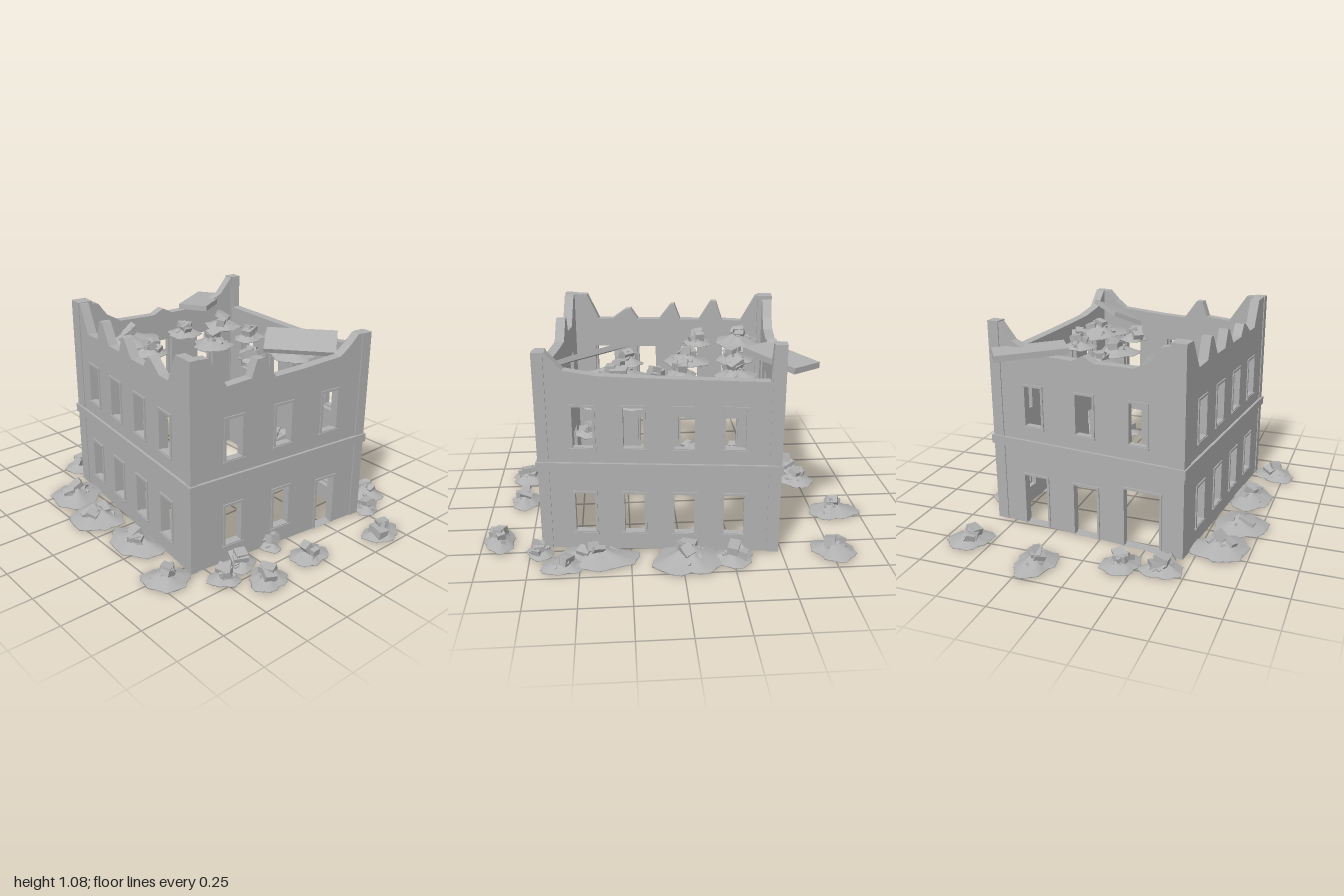
import * as THREE from 'three';

const W = 1.17, D = 1.05, T = 0.05, BASE = 0.02;
const stone = new THREE.MeshStandardMaterial({ color: 0xb0b0b0 });
stone.name = 'grey stone';

let seed = 7;
const rand = (a = 0, b = 1) => {
  seed = (seed * 16807) % 2147483647;
  return a + (b - a) * (seed / 2147483647);
};

function add(parent, name, geometry, x = 0, y = 0, z = 0) {
  const mesh = new THREE.Mesh(geometry, stone);
  mesh.name = name;
  mesh.position.set(x, y, z);
  parent.add(mesh);
  return mesh;
}

const rectPoints = (x0, y0, x1, y1) =>
  [[x0, y0], [x1, y0], [x1, y1], [x0, y1]].map(p => new THREE.Vector2(...p));

const extrude = (shape, depth) =>
  new THREE.ExtrudeGeometry(shape, { depth, bevelEnabled: false });

// Wall with a broken top edge and framed openings; outer face at local z = 0
function makeWall(name, width, top, openings) {
  const wall = new THREE.Group();
  wall.name = name;
  const h = width / 2;
  const outline = [[-h, BASE], [h, BASE], ...[...top].reverse()];
  const shape = new THREE.Shape(outline.map(p => new THREE.Vector2(...p)));
  for (const { u, w, y0, y1 } of openings) {
    const x0 = u - w / 2, x1 = u + w / 2, f = 0.01;
    const door = y0 <= BASE;
    const low = door ? BASE + 0.001 : y0;
    shape.holes.push(new THREE.Path(rectPoints(x0, low, x1, y1)));
    // Frame around the opening, plus a sill under windows
    const frame = new THREE.Shape(rectPoints(x0 - 0.002, low, x1 + 0.002, y1 + 0.002));
    frame.holes.push(new THREE.Path(rectPoints(x0 + f, low + (door ? 0.001 : f), x1 - f, y1 - f)));
    add(wall, door ? 'doorFrame' : 'windowFrame', extrude(frame, 0.03), 0, 0, -0.024);
    if (!door) add(wall, 'windowSill', new THREE.BoxGeometry(w + 0.01, 0.01, 0.03), u, y0, -0.005);
  }
  add(wall, 'brokenWall', extrude(shape, T), 0, 0, -T);
  return wall;
}

const upper = (us, w) => us.map(u => ({ u, w, y0: 0.56, y1: 0.785 }));
const lower = (us, w) => us.map(u => ({ u, w, y0: 0.107, y1: 0.335 }));

// Irregular mound with a concave slope
function makeMound(rx, rz, h) {
  const profile = [[0, 0], [1, 0], [0.98, 0.06], [0.72, 0.24], [0.4, 0.58], [0.15, 0.95], [0, 1]];
  const geo = new THREE.LatheGeometry(profile.map(p => new THREE.Vector2(...p)), 20);
  const p = geo.attributes.position;
  const a = rand(0, 6.28), b = rand(0, 6.28), c = rand(0, 6.28);
  for (let i = 0; i < p.count; i++) {
    const x = p.getX(i), z = p.getZ(i), t = Math.atan2(z, x);
    const k = 0.98 + 0.1 * Math.sin(2 * t + a) + 0.08 * Math.sin(3 * t + b) + 0.07 * Math.sin(7 * t + c);
    const bump = 1 + 0.18 * Math.sin(4 * t + b) * Math.min(1, Math.hypot(x, z) * 2);
    p.setXYZ(i, x * k * rx, p.getY(i) * h * bump, z * k * rz);
  }
  geo.computeVertexNormals();
  return geo;
}

// Mound topped with tilted blocks and small chips
function makeRubble(x, y, z, rx, rz = rx) {
  const pile = new THREE.Group();
  pile.name = 'rubblePile';
  pile.position.set(x, y, z);
  const r = Math.min(rx, rz);
  const h = 0.035 + r * 0.2;
  add(pile, 'rubbleMound', makeMound(rx, rz, h));
  const block = (name, sx, sy, sz, spread, lift, tilt) => {
    const t = rand(0, 6.28), d = rand(0, spread);
    const m = add(pile, name, new THREE.BoxGeometry(sx, sy, sz),
      Math.cos(t) * d * rx, h * Math.max(0.15, 1 - 1.4 * d) + lift, Math.sin(t) * d * rz);
    m.rotation.set(rand(-tilt, tilt), rand(0, 6.28), rand(-tilt, tilt));
  };
  for (let i = 0; i < 3; i++) {
    block('rubbleBlock', rand(0.05, 0.085), rand(0.022, 0.045), rand(0.04, 0.06), 0.38, 0.008, 0.5);
  }
  for (let i = 0; i < 10; i++) {
    block('rubbleChip', rand(0.015, 0.04), rand(0.01, 0.018), rand(0.012, 0.025), 0.6, 0, 0.8);
  }
  return pile;
}

export function createModel() {
  seed = 7;
  const model = new THREE.Group();
  model.name = 'ruinedBuilding';
  const house = new THREE.Group();
  house.name = 'buildingShell';
  house.position.set(0.0475, 0, -0.006);
  house.rotation.y = -0.111;
  model.add(house);

  // Broken top edges, left to right as seen from outside
  const frontTop = [[-0.585, 1.09], [-0.5, 1.085], [-0.42, 0.94], [-0.31, 0.945], [-0.275, 1.05],
    [-0.245, 1.05], [-0.18, 0.945], [-0.07, 0.945], [-0.035, 1.035], [-0.015, 1.03], [0.05, 0.945],
    [0.175, 0.945], [0.215, 1.005], [0.245, 1.0], [0.32, 0.945], [0.4, 0.945], [0.465, 1.085], [0.585, 1.09]];
  const leftTop = [[-0.525, 1.09], [-0.43, 1.085], [-0.33, 0.935], [-0.195, 0.945], [-0.165, 1.03],
    [-0.13, 1.03], [-0.055, 0.925], [0.1, 0.93], [0.34, 0.945], [0.4, 0.99], [0.45, 1.04], [0.525, 1.04]];
  const backTop = [[-0.585, 1.04], [-0.53, 1.04], [-0.45, 0.955], [-0.3, 0.93], [0, 0.92],
    [0.52, 0.91], [0.53, 1.09], [0.585, 1.09]];
  const rightTop = [[-0.525, 1.09], [-0.47, 1.085], [-0.4, 1.0], [-0.28, 0.945], [-0.06, 0.94],
    [0, 0.97], [0.06, 0.94], [0.27, 0.945], [0.35, 0.99], [0.4, 1.06], [0.525, 1.09]];

  const four = [-0.365, -0.122, 0.122, 0.365], three = [-0.288, 0, 0.288];
  const door = (u, w, y1) => ({ u, w, y0: BASE, y1 });
  const walls = [
    ['frontWall', W, frontTop, [...upper(four, 0.117), ...lower(four, 0.117)], 0, D / 2],
    ['leftWall', D, leftTop, [...upper(three, 0.112), ...lower([-0.288, 0], 0.112), door(0.288, 0.13, 0.305)], Math.PI / 2, W / 2],
    ['backWall', W, backTop, [...upper(four, 0.117), ...lower(four, 0.117)], Math.PI, D / 2],
    ['rightWall', D, rightTop, [...upper(three, 0.112), door(-0.288, 0.15, 0.305), door(0, 0.15, 0.305),
      door(0.31, 0.21, 0.34)], -Math.PI / 2, W / 2],
  ];
  for (const [name, width, top, openings, angle, dist] of walls) {
    const wall = makeWall(name, width, top, openings);
    wall.rotation.y = angle;
    wall.position.set(Math.sin(angle) * dist, 0, Math.cos(angle) * dist);
    house.add(wall);
  }

  // Corner piers: x side, z side, size, top
  for (const [sx, sz, s, top] of [[-1, 1, 0.08, 1.09], [1, 1, 0.04, 1.09], [1, -1, 0.055, 1.04], [-1, -1, 0.06, 1.09]]) {
    add(house, 'cornerPier', new THREE.BoxGeometry(s, top - BASE, s),
      sx * (W / 2 + 0.005 - s / 2), (top + BASE) / 2, sz * (D / 2 + 0.005 - s / 2));
  }

  // Stone course between the storeys
  const ring = (o) => rectPoints(-W / 2 - o, -D / 2 - o, W / 2 + o, D / 2 + o);
  const course = new THREE.Shape(ring(0.014));
  course.holes.push(new THREE.Path(ring(-0.01)));
  add(house, 'stringCourse', extrude(course, 0.045), 0, 0.445, 0).rotation.x = -Math.PI / 2;

  // Fallen roof slabs
  const slabA = add(model, 'fallenSlab', new THREE.BoxGeometry(0.36, 0.03, 0.165), -0.495, 0.96, -0.365);
  slabA.rotation.set(0, -1.0, 0.05, 'YXZ');
  const slabB = add(model, 'fallenSlab', new THREE.BoxGeometry(0.36, 0.025, 0.17), 0.42, 0.965, -0.255);
  slabB.rotation.set(0.4, 0.7, 0, 'YXZ');

  // Rubble around the walls: x, z, radius in x, radius in z
  const outside = [[-0.76, -0.61, 0.11], [-0.86, -0.2, 0.13, 0.11], [-0.74, 0.19, 0.1], [-0.72, 0.39, 0.09, 0.1],
    [-0.43, 0.6, 0.15, 0.14], [-0.16, 0.64, 0.17, 0.13], [0.18, 0.63, 0.16, 0.12], [0.53, 0.7, 0.11],
    [0.7, 0.49, 0.075], [0.66, 0.35, 0.08], [0.83, 0.33, 0.1], [0.625, 0.13, 0.07, 0.06], [0.82, 0.04, 0.09, 0.1],
    [0.91, -0.4, 0.085, 0.11], [0.7, -0.53, 0.07], [0.58, -0.65, 0.1], [0.41, -0.59, 0.2, 0.12],
    [-0.03, -0.63, 0.16, 0.18], [-0.25, -0.64, 0.11, 0.09]];
  for (const [x, z, rx, rz] of outside) model.add(makeRubble(x, BASE, z, rx, rz));

  // Rubble left at roof level
  const roof = [[-0.28, -0.34, 0.1], [-0.02, -0.31, 0.08, 0.09], [0.12, -0.37, 0.055], [0.3, -0.31, 0.16, 0.14],
    [-0.31, -0.08, 0.09, 0.1], [-0.06, -0.08, 0.11, 0.12], [0.24, -0.09, 0.075], [-0.38, 0.24, 0.13, 0.17],
    [-0.16, 0.27, 0.075, 0.11]];
  for (const [x, z, rx, rz] of roof) model.add(makeRubble(x, 0.86, z, rx, rz));

  // Rubble left at upper floor level
  const floor = [[0.45, -0.08, 0.07, 0.08], [0.19, 0.32, 0.09, 0.1], [0.42, 0.34, 0.07, 0.09], [-0.08, 0.4, 0.05]];
  for (const [x, z, rx, rz] of floor) model.add(makeRubble(x, 0.47, z, rx, rz));

  return model;
}
